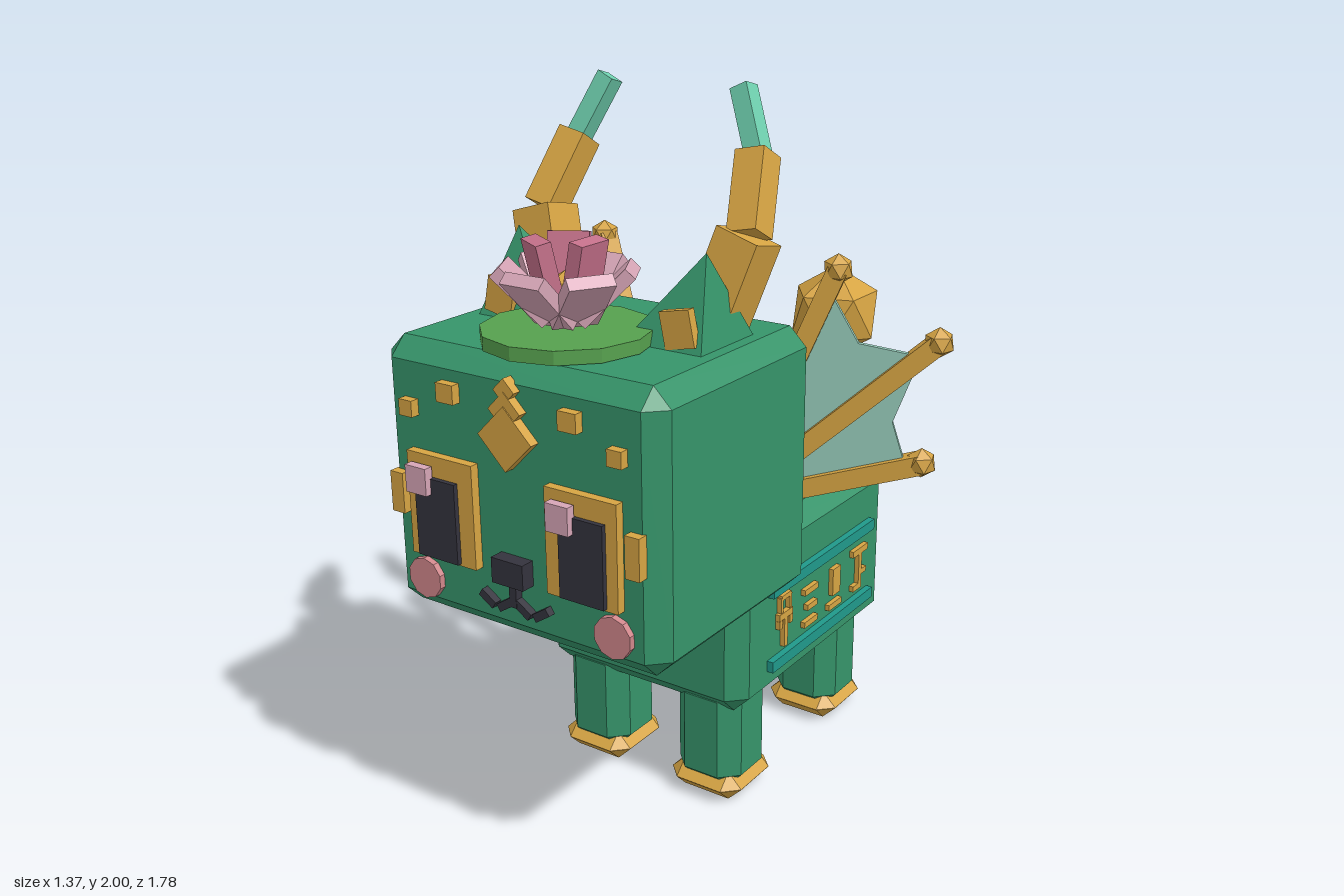
import * as THREE from 'three';
import { ConvexGeometry } from 'three/addons/geometries/ConvexGeometry.js';

const V = (x, y, z) => new THREE.Vector3(x, y, z);
const SIDES = [-1, 1];

function mat(name, color) {
  const m = new THREE.MeshStandardMaterial({ color });
  m.name = name;
  return m;
}

// Box with chamfered edges: hull of three face rectangles per corner
function chamferBox(w, h, d, c) {
  const pts = [];
  for (const x of SIDES) for (const y of SIDES) for (const z of SIDES) {
    pts.push(V(x * w / 2, y * (h / 2 - c), z * (d / 2 - c)));
    pts.push(V(x * (w / 2 - c), y * h / 2, z * (d / 2 - c)));
    pts.push(V(x * (w / 2 - c), y * (h / 2 - c), z * d / 2));
  }
  return new ConvexGeometry(pts);
}

// Four-sided spike with its tip moved off centre
function spike(cx, cz, half, y0, tip) {
  const pts = [tip];
  for (const x of SIDES) for (const z of SIDES) pts.push(V(cx + x * half, y0, cz + z * half));
  return new ConvexGeometry(pts);
}

// Faceted knob with one corner pointing straight up
function knob(r) {
  return new THREE.IcosahedronGeometry(r, 0).rotateZ(0.5536);
}

function disc(r, h, n) {
  const g = new THREE.CylinderGeometry(r, r, h, n).toNonIndexed();
  g.computeVertexNormals();
  return g;
}

export function createModel() {
  const model = new THREE.Group();
  const green = mat('jade green', 0x36946a), gold = mat('gold', 0xd6a443);
  const teal = mat('teal', 0x20998a), mint = mat('mint', 0x6fd0af);
  const web = mat('pale membrane', 0x96cab9), palePink = mat('pale pink', 0xd6a5b6);
  const rose = mat('rose', 0xc4708a), blush = mat('blush', 0xd0878b);
  const dark = mat('charcoal', 0x34333d), leaf = mat('leaf green', 0x56a04e);

  function add(name, geo, m, x = 0, y = 0, z = 0, parent = model) {
    const mesh = new THREE.Mesh(geo, m);
    mesh.name = name;
    mesh.position.set(x, y, z);
    parent.add(mesh);
    return mesh;
  }
  const box = (name, m, w, h, d, x, y, z, parent) =>
    add(name, new THREE.BoxGeometry(w, h, d), m, x, y, z, parent);
  // Bar running from a to b, chamfered when c is given
  function beam(name, m, a, b, w, c = 0, parent = model, d = w) {
    const len = a.distanceTo(b);
    const geo = c ? chamferBox(w, len, d, c) : new THREE.BoxGeometry(w, len, d);
    const mid = a.clone().lerp(b, 0.5);
    const mesh = add(name, geo, m, mid.x, mid.y, mid.z, parent);
    mesh.quaternion.setFromUnitVectors(V(0, 1, 0), b.clone().sub(a).normalize());
    return mesh;
  }

  // Head, body, legs
  add('head', chamferBox(0.87, 0.735, 0.7, 0.05), green, 0, 1.0325, 0.48);
  add('body', chamferBox(0.68, 0.51, 0.835, 0.05), green, 0, 0.555, -0.0825);
  for (const s of SIDES) for (const z of [0.204, -0.343]) {
    add('leg', chamferBox(0.21, 0.34, 0.21, 0.05), green, s * 0.195, 0.2, z);
    add('foot', chamferBox(0.235, 0.088, 0.235, 0.0435), gold, s * 0.195, 0.046, z);
  }

  // Tail
  beam('tailBase', green, V(0, 0.66, -0.45), V(0, 0.885, -0.745), 0.205, 0.045);
  beam('tailTip', gold, V(0, 0.84, -0.71), V(0, 1.16, -0.75), 0.175, 0.04);
  add('tailKnob', knob(0.153), gold, 0, 1.167, -0.76);

  // Back spikes: base z, half width, tip z, tip y
  for (const [z, half, tz, ty] of [[0.035, 0.09, -0.065, 1.04], [-0.145, 0.075, -0.21, 1.01],
    [-0.315, 0.063, -0.365, 0.96], [-0.455, 0.052, -0.485, 0.91]]) {
    add('backSpike', spike(0, z, half, 0.8, V(0, ty, tz)), teal);
    add('spikeKnob', knob(0.045), gold, 0, ty + 0.025, tz - 0.028);
  }

  // Wings, each built flat and then swung backwards
  const tips = [[0.288, 0.69], [0.565, 0.505], [0.533, 0.16]];
  const outline = new THREE.Shape();
  outline.moveTo(0, 0);
  tips.forEach(([u, v], i) => {
    outline.lineTo(u * 0.92, v * 0.92);
    if (i < 2) {
      const [u2, v2] = tips[i + 1];
      outline.lineTo((u + u2) * 0.41, (v + v2) * 0.41);
    }
  });
  for (const s of SIDES) {
    const wing = new THREE.Group();
    wing.name = s > 0 ? 'leftWing' : 'rightWing';
    wing.position.set(s * 0.12, 0.81, 0.04);
    wing.rotation.y = s > 0 ? 0.354 : Math.PI - 0.354;
    model.add(wing);
    const geo = new THREE.ExtrudeGeometry(outline, { depth: 0.016, bevelEnabled: false });
    add('wingMembrane', geo, web, 0, 0, -0.008, wing);
    for (const [u, v] of tips) {
      beam('wingBone', gold, V(0, 0, 0), V(u, v, 0), 0.055, 0, wing);
      add('wingKnob', knob(0.043), gold, u, v, 0, wing);
    }
  }

  // Ears and jointed horns
  for (const s of SIDES) {
    add('ear', spike(s * 0.23, 0.42, 0.125, 1.385, V(s * 0.295, 1.625, 0.43)), green);
    box('innerEar', gold, 0.088, 0.095, 0.025, s * 0.28, 1.455, 0.525).rotation.z = -s * -0.2;
    const joints = [V(s * 0.25, 1.4, 0.335), V(s * 0.325, 1.645, 0.285),
      V(s * 0.283, 1.83, 0.18), V(s * 0.21, 1.985, 0.135)];
    beam('hornBase', gold, joints[0], joints[1], 0.125);
    beam('hornMiddle', gold, joints[1], joints[2], 0.085);
    beam('hornTip', mint, joints[2], joints[3], 0.052);
  }

  // Flower on its leaf pad
  const flower = new THREE.Group();
  flower.name = 'flower';
  flower.position.set(0, 1.4, 0.605);
  model.add(flower);
  add('leafPad', disc(0.22, 0.036, 12), leaf, 0, 0.02, 0, flower);
  function petals(name, m, n, offset, [r0, y0], [r1, y1], width, thick) {
    for (let i = 0; i < n; i++) {
      const arm = new THREE.Group();
      arm.rotation.y = offset + i * Math.PI * 2 / n;
      flower.add(arm);
      beam(name, m, V(r0, y0, 0), V(r1, y1, 0), thick, 0, arm, width);
    }
  }
  petals('outerPetal', palePink, 6, Math.PI / 6, [0.04, 0.06], [0.165, 0.185], 0.12, 0.035);
  petals('innerPetal', rose, 3, 0, [0.035, 0.07], [0.075, 0.26], 0.105, 0.04);
  add('flowerCentre', knob(0.05), gold, 0, 0.13, 0, flower);

  // Eyes, cheeks and face studs
  for (const s of SIDES) {
    box('eyeFrame', gold, 0.215, 0.28, 0.03, s * 0.222, 0.982, 0.84);
    box('pupil', dark, 0.133, 0.217, 0.03, s * 0.23, 0.957, 0.853);
    box('eyeGlint', palePink, 0.068, 0.073, 0.025, s * 0.225 - 0.05, 1.06, 0.873);
    box('sideStud', gold, 0.042, 0.11, 0.03, s * 0.372, 0.997, 0.84);
    box('browStud', gold, 0.055, 0.05, 0.03, s * 0.19, 1.295, 0.84);
    box('outerBrowStud', gold, 0.043, 0.043, 0.03, s * 0.325, 1.233, 0.84);
    add('cheek', disc(0.056, 0.025, 10).rotateX(Math.PI / 2), blush, s * 0.303, 0.77, 0.835);
    beam('mouthOuter', dark, V(s * 0.108, 0.785, 0.84), V(s * 0.065, 0.757, 0.84), 0.022);
    beam('mouthInner', dark, V(s * 0.05, 0.755, 0.84), V(0, 0.787, 0.84), 0.022);
  }
  box('nose', dark, 0.1, 0.068, 0.05, 0, 0.868, 0.845);
  box('noseStem', dark, 0.022, 0.07, 0.025, 0, 0.805, 0.84);

  // Stacked forehead diamonds: y, side length
  for (const [y, size, depth] of [[1.335, 0.046, 0.03], [1.285, 0.07, 0.034], [1.215, 0.118, 0.04]])
    box('foreheadDiamond', gold, size, size, depth, 0, y, 0.838).rotation.z = Math.PI / 4;

  // Flank bands and abstract inlay bars: z, y, length, height
  const inlay = [
    [0.115, 0.6, 0.05, 0.014], [0.138, 0.578, 0.012, 0.045], [0.092, 0.578, 0.012, 0.045],
    [0.115, 0.543, 0.072, 0.02], [0.115, 0.49, 0.018, 0.09], [0.143, 0.52, 0.016, 0.025],
    [0.088, 0.52, 0.016, 0.025],
    [-0.027, 0.564, 0.075, 0.018], [-0.033, 0.512, 0.055, 0.018], [-0.027, 0.462, 0.075, 0.018],
    [-0.174, 0.533, 0.045, 0.085], [-0.17, 0.458, 0.075, 0.018],
    [-0.32, 0.575, 0.09, 0.02], [-0.32, 0.513, 0.018, 0.11], [-0.305, 0.46, 0.05, 0.018],
    [-0.34, 0.503, 0.035, 0.016],
  ];
  for (const s of SIDES) {
    for (const y of [0.638, 0.41]) box('flankBand', teal, 0.03, 0.033, 0.585, s * 0.345, y, -0.1);
    for (const [z, y, len, h] of inlay) box('flankInlay', gold, 0.025, h, len, s * 0.342, y, z);
  }
  return model;
}
